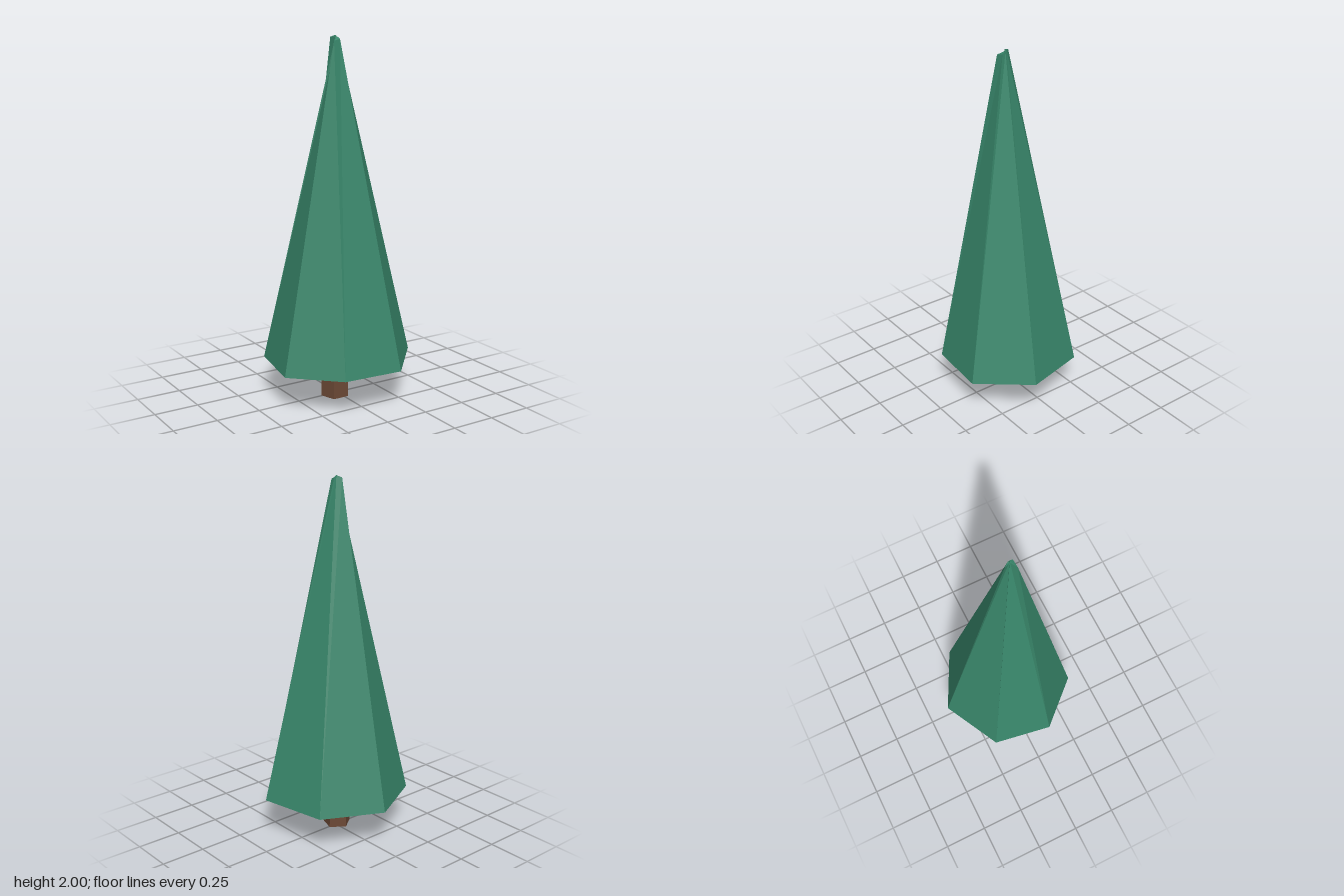
import * as THREE from 'three';

// Closed flat-shaded loft between two rings of [x, y, z] points (clockwise from above)
function loft(name, bottom, top, color) {
  const positions = [];
  const tri = (a, b, c) => positions.push(...a, ...b, ...c);
  const centre = ring => [0, 1, 2].map(k => ring.reduce((s, p) => s + p[k], 0) / ring.length);
  const low = centre(bottom), high = centre(top);
  bottom.forEach((a, i) => {
    const j = (i + 1) % bottom.length;
    tri(a, top[i], bottom[j]);
    tri(top[i], top[j], bottom[j]);
    tri(low, a, bottom[j]);
    tri(high, top[j], top[i]);
  });
  const geometry = new THREE.BufferGeometry();
  geometry.setAttribute('position', new THREE.Float32BufferAttribute(positions, 3));
  geometry.computeVertexNormals();
  const mesh = new THREE.Mesh(geometry, new THREE.MeshStandardMaterial({
    color, flatShading: true, side: THREE.DoubleSide,
  }));
  mesh.name = name;
  return mesh;
}

// Five-sided ring with one corner pointing to the back
function trunkRing(radius, y) {
  return Array.from({ length: 5 }, (_, i) => {
    const t = (i / 5) * Math.PI * 2;
    return [-0.025 + radius * Math.sin(t), y, 0.018 - radius * Math.cos(t)];
  });
}

export function createModel() {
  const tree = new THREE.Group();
  tree.name = 'pineTree';

  // Irregular seven-sided foliage with a crumpled tip
  const skirt = [
    [-0.02, 0.215, -0.39], [0.305, 0.215, -0.225], [0.4, 0.23, 0.13], [0.163, 0.215, 0.39],
    [-0.178, 0.215, 0.365], [-0.403, 0.205, 0.117], [-0.348, 0.215, -0.22],
  ];
  const tip = [
    [-0.036, 1.99, -0.01], [-0.018, 2, 0.015], [-0.012, 1.99, 0.025], [-0.01, 1.98, 0.045],
    [-0.05, 1.97, 0.05], [-0.015, 1.99, 0.027], [-0.022, 2, 0.022],
  ];
  tree.add(loft('foliage', skirt, tip, 0x38866a));

  // Slightly tapered trunk reaching into the foliage
  tree.add(loft('trunk', trunkRing(0.08, 0), trunkRing(0.072, 0.25), 0x6b4835));

  return tree;
}
